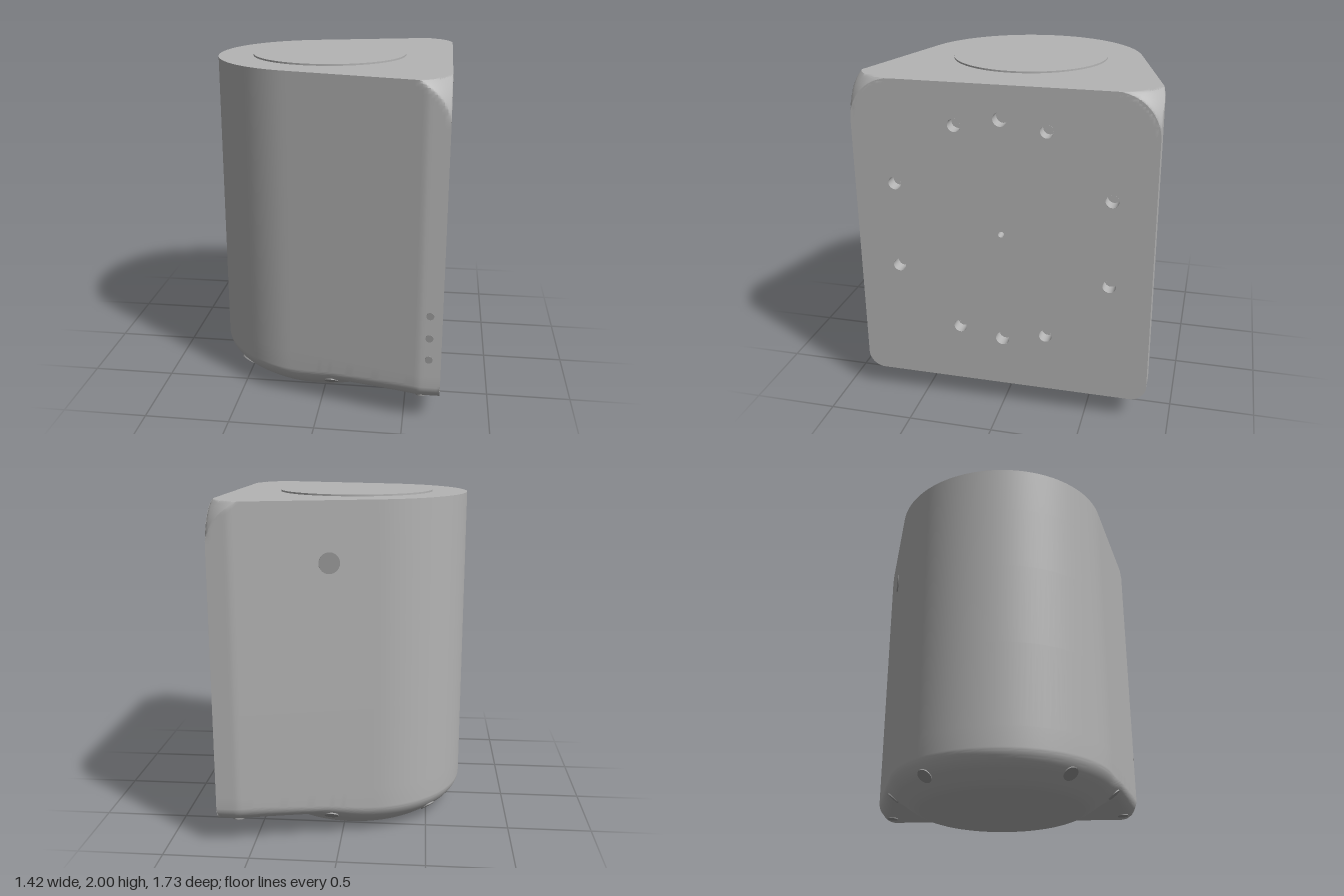
import * as THREE from 'three';
import { mergeGeometries, toCreasedNormals } from 'three/addons/utils/BufferGeometryUtils.js';

const CX = -0.035, R = 0.675, TOP = 1.99, FLAT = 0.71, HALF = 0.865;
const TILT = Math.PI / 12, SN = Math.sin(TILT), CS = Math.cos(TILT);
const V = (x, y, z) => new THREE.Vector3(x, y, z);

// Half-depth of the tapered side at a given x
const sideZ = (x) => Math.min(HALF, (R + (x - CX) * SN) / CS);

// Inward distance from the round and tapered side walls
function wallDistance(x, z) {
  const dx = x - CX, az = Math.abs(z);
  if (dx * CS + az * SN < 0) return Math.max(0, R - Math.hypot(dx, az));
  return Math.max(0, Math.min(R + dx * SN - az * CS, HALF - az));
}

// Underside: round foot flowing into a flat, with a rolled outer edge
function underside(x, z) {
  const y = 0.14 * THREE.MathUtils.smoothstep(Math.hypot(x - CX, z), 0.46, 0.74);
  const k = THREE.MathUtils.lerp(0.06, 0.1, THREE.MathUtils.smoothstep(x, -0.2, 0.6));
  const d = wallDistance(x, z);
  return d < k ? y + k - Math.sqrt(k * k - (k - d) ** 2) : y;
}

// Upper corners beside the flat face are trimmed by a sphere
function trimCorner(p) {
  const s = Math.sign(p.z), c = V(0.46, 1.74, 0.615 * s), r = 0.25 * Math.SQRT2;
  if (p.x > c.x && p.y > c.y && p.z * s > 0.615 && p.distanceTo(c) > r) p.sub(c).setLength(r).add(c);
  return p;
}

// Surface from rows of points
function skin(rows) {
  const n = rows[0].length, index = [];
  for (let i = 0; i < rows.length - 1; i++) {
    for (let j = 0; j < n - 1; j++) {
      const a = i * n + j, d = a + n;
      index.push(a, d, a + 1, a + 1, d, d + 1);
    }
  }
  const g = new THREE.BufferGeometry().setFromPoints(rows.flat());
  g.setIndex(index);
  return g.toNonIndexed();
}

// Plan outline without the flat face, from its +z edge round to its -z edge
function planOutline() {
  const half = [];
  for (let i = 0; i < 7; i++) half.push([FLAT - (0.13 * i) / 7, HALF]);
  for (let i = 0; i < 36; i++) {
    const x = 0.58 - ((0.58 - (CX - R * SN)) * i) / 36;
    half.push([x, sideZ(x)]);
  }
  for (let i = 0; i <= 26; i++) {
    const a = Math.PI / 2 + TILT + ((Math.PI / 2 - TILT) * i) / 26;
    half.push([CX + R * Math.cos(a), R * Math.sin(a)]);
  }
  const other = half.slice(0, -1).reverse().map(([x, z]) => [x, -z]);
  return [...half, ...other];
}

function bodyGeometry() {
  const outline = planOutline();
  const loop = [...outline];
  for (let i = 1; i <= 80; i++) loop.push([FLAT, -HALF + (2 * HALF * i) / 80]);

  // Concentric rows, closer together towards the rim
  const ring = (t, height) => loop.map(([x, z]) => {
    const px = CX + (x - CX) * t, pz = z * t;
    return trimCorner(V(px, height(px, pz), pz));
  });
  const ts = Array.from({ length: 51 }, (_, i) => Math.sin((i / 50) * Math.PI / 2));
  const bottom = skin(ts.map((t) => ring(t, underside)));
  const top = skin([...ts].reverse().map((t) => ring(t, () => TOP)));

  // Side wall
  const wallRows = [outline.map(([x, z]) => V(x, underside(x, z), z))];
  const levels = [0.3, 0.8, 1.3];
  for (let i = 0; i <= 16; i++) levels.push(1.7 + (0.29 * i) / 16);
  for (const y of levels) wallRows.push(outline.map(([x, z]) => trimCorner(V(x, y, z))));

  // Trimmed patches at the two upper corners
  const patches = [1, -1].map((s) => {
    const g = new THREE.PlaneGeometry(0.25, 0.25, 14, 14).rotateY(Math.PI / 2).translate(FLAT, 1.865, 0.74 * s);
    const pos = g.attributes.position;
    for (let i = 0; i < pos.count; i++) {
      const p = trimCorner(V().fromBufferAttribute(pos, i));
      pos.setXYZ(i, p.x, p.y, p.z);
    }
    g.deleteAttribute('uv');
    g.deleteAttribute('normal');
    return g.toNonIndexed();
  });
  return toCreasedNormals(mergeGeometries([bottom, skin(wallRows), top, ...patches]), 0.6);
}

export function createModel() {
  const model = new THREE.Group();
  const grey = new THREE.MeshStandardMaterial({ color: 0xb4b4b4, side: THREE.DoubleSide });
  grey.name = 'grey';
  const holeGrey = new THREE.MeshStandardMaterial({ color: 0x969696 });
  holeGrey.name = 'hole grey';
  const add = (name, geometry, material = grey) => {
    const mesh = new THREE.Mesh(geometry, material);
    mesh.name = name;
    model.add(mesh);
    return mesh;
  };

  add('body', bodyGeometry());
  add('topDisc', new THREE.CylinderGeometry(0.465, 0.465, 0.02, 96)).position.set(CX, 1.99, 0);

  // Mounting face with its circle of screw holes
  const face = new THREE.Shape();
  face.moveTo(-HALF + 0.1, 0.14);
  face.lineTo(HALF - 0.1, 0.14);
  face.absarc(HALF - 0.1, 0.24, 0.1, -Math.PI / 2, 0, false);
  face.absarc(0.615, 1.74, 0.25, 0, Math.PI / 2, false);
  face.absarc(-0.615, 1.74, 0.25, Math.PI / 2, Math.PI, false);
  face.absarc(-HALF + 0.1, 0.24, 0.1, Math.PI, Math.PI * 1.5, false);
  const holes = [[0, 1.8, 0.041], [0, 0.45, 0.041], [0, 1.125, 0.018]];
  for (const s of [1, -1]) {
    for (const [z, y] of [[0.26, 1.75], [0.625, 1.383], [0.625, 0.867], [0.26, 0.5]]) holes.push([z * s, y, 0.038]);
  }
  for (const [z, y, r] of holes) {
    face.holes.push(new THREE.Path().absarc(-z, y, r, 0, Math.PI * 2, true));
    const recess = new THREE.LatheGeometry(
      [[r, 0], [r, -0.08], [r, -0.08], [0, -0.08]].map(([a, b]) => new THREE.Vector2(a, b)), 24);
    recess.rotateZ(-Math.PI / 2).translate(FLAT, y, z);
    add('mountingHole', recess);
  }
  add('mountingFace', new THREE.ShapeGeometry(face, 24).rotateY(Math.PI / 2).translate(FLAT, 0, 0));

  // Thin round inlays for the holes in the walls and underside
  const inlay = (name, p, normal, r) => {
    const mesh = add(name, new THREE.CylinderGeometry(r, r, 0.008, 28), holeGrey);
    mesh.position.copy(p);
    mesh.quaternion.setFromUnitVectors(V(0, 1, 0), normal.normalize());
  };
  for (const y of [0.41, 0.543, 0.68]) inlay('indicatorHole', V(0.64, y, HALF), V(0, 0, 1), 0.022);
  inlay('cablePort', V(0.06, 1.65, -sideZ(0.06)), V(-SN, 0, -CS), 0.06);
  for (const s of [1, -1]) {
    for (const [x, z, r] of [[0.06, 0.675, 0.042], [-0.51, 0.4, 0.045], [0.6, 0.77, 0.035]]) {
      const e = 0.01, h = (a, b) => underside(a, b * s);
      const normal = V((h(x + e, z) - h(x - e, z)) / (2 * e), -1, (s * (h(x, z + e) - h(x, z - e))) / (2 * e));
      inlay('undersideHole', V(x, h(x, z), z * s), normal, r);
    }
  }
  return model;
}
